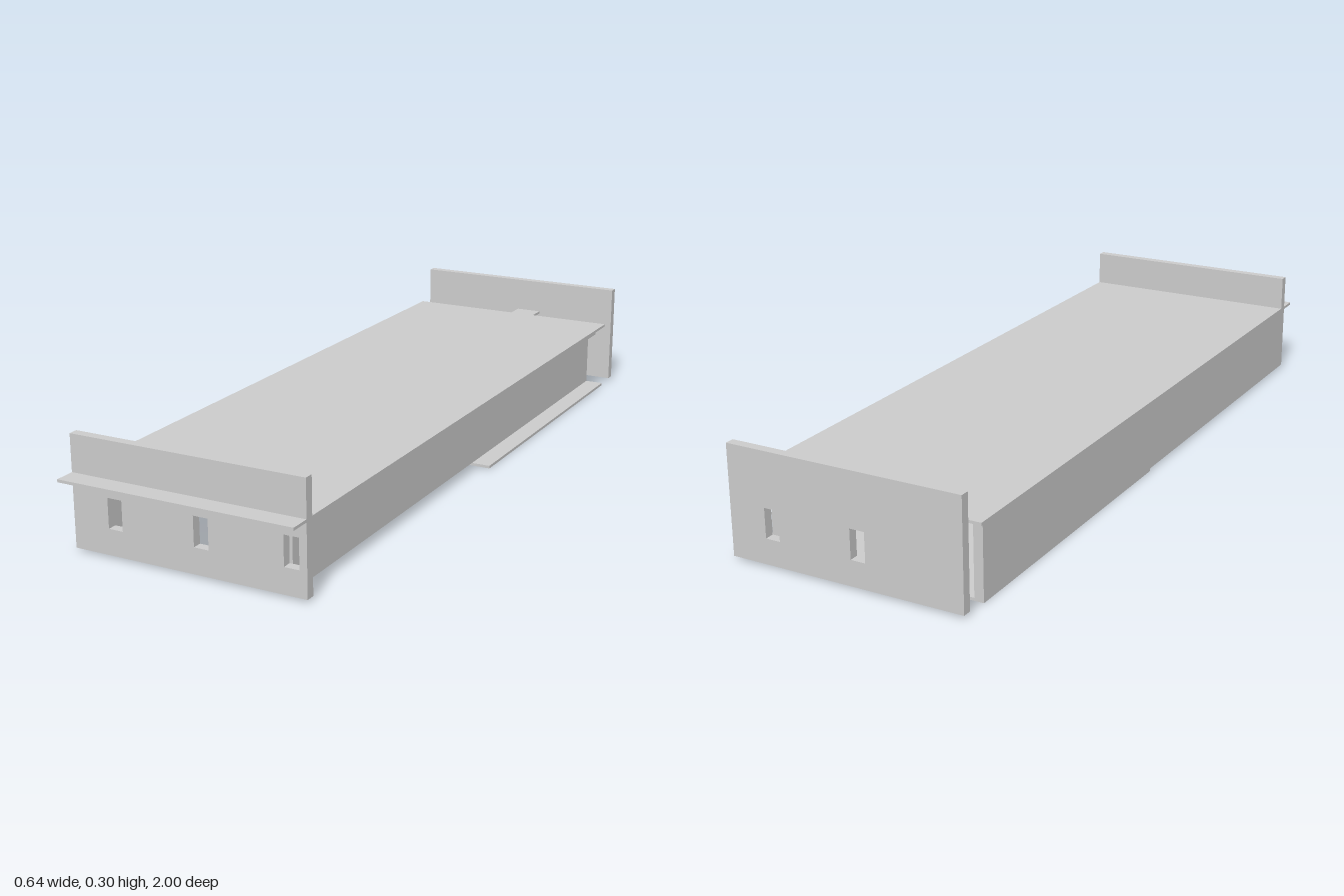
import * as THREE from 'three';

const HALF = 0.32;    // half width of the tray
const T = 0.0075;     // sheet thickness
const WALL = 0.025;   // wall and panel thickness
const TOP = 0.2;      // height of the deck surface

export function createModel() {
  const group = new THREE.Group();
  const material = new THREE.MeshStandardMaterial({ color: 0xcccccc, flatShading: true });

  function add(name, geometry) {
    const mesh = new THREE.Mesh(geometry, material);
    mesh.name = name;
    group.add(mesh);
    return mesh;
  }

  // Box given by its limits on each axis
  function box(name, [x0, x1], [y0, y1], [z0, z1]) {
    const g = new THREE.BoxGeometry(x1 - x0, y1 - y0, z1 - z0);
    g.translate((x0 + x1) / 2, (y0 + y1) / 2, (z0 + z1) / 2);
    return add(name, g);
  }

  function polygon(points, Type = THREE.Shape) {
    return new Type(points.map(([x, y]) => new THREE.Vector2(x, y)));
  }

  function rect(x0, x1, y0, y1, Type) {
    return polygon([[x0, y0], [x1, y0], [x1, y1], [x0, y1]], Type);
  }

  // Upright end panel with rectangular slots
  function endPanel(name, z, thickness, slotCentres) {
    const shape = rect(-HALF, HALF, T, 0.297);
    for (const x of slotCentres) {
      shape.holes.push(rect(x - 0.02, x + 0.02, 0.075, 0.153, THREE.Path));
    }
    const g = new THREE.ExtrudeGeometry(shape, { depth: thickness, bevelEnabled: false });
    g.translate(0, 0, z);
    add(name, g);
  }

  endPanel('frontPanel', 0.92, WALL, [-0.2, 0.04, 0.28]);
  endPanel('backPanel', -1, WALL, [-0.04, 0.2]);

  // Deck sheet with a tab reaching the back panel; its front lip passes the front panel
  const deck = polygon([
    [-HALF, -1], [HALF, -1], [HALF, 0.92], [0.075, 0.92],
    [0.075, 0.975], [0, 0.975], [0, 0.92], [-HALF, 0.92],
  ]);
  const deckGeometry = new THREE.ExtrudeGeometry(deck, { depth: T, bevelEnabled: false });
  deckGeometry.rotateX(-Math.PI / 2);
  deckGeometry.translate(0, TOP - T, 0);
  add('deck', deckGeometry);

  // Thin backing sheet under the deck
  box('deckBacking', [-0.13, HALF], [TOP - 1.8 * T, TOP - T], [-0.84, 0.92]);

  // Side walls: one flush with the edge, the other set in under the deck
  for (const [name, outer] of [['flushWall', -HALF + WALL], ['insetWall', 0.268]]) {
    box(name, [outer - WALL, outer], [T, TOP - T], [-0.915, 0.92]);
  }

  // Bottom sheet covering the rear half
  box('bottomPlate', [-HALF, HALF], [0, T], [-0.915, -0.04]);

  return group;
}
